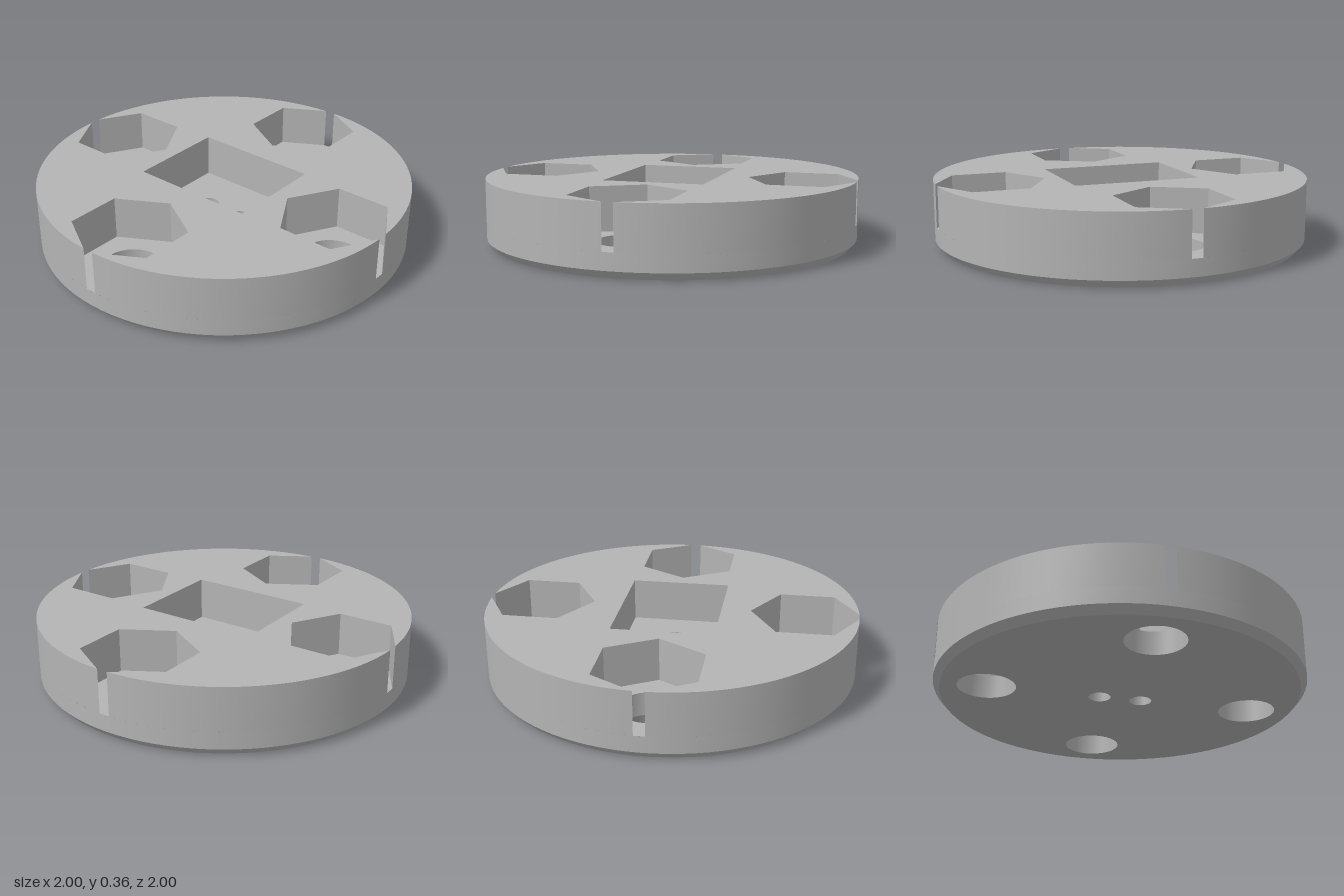
import * as THREE from 'three';

const TOP = 0.36, FLOOR = 0.128, CHAMFER = 0.04, BASE_R = 0.965;
const C = 0.51 * Math.SQRT2, HEX_R = 0.295, BORE_R = 0.155, PIN_R = 0.06;

// All plan points are [u, v] with u = x and v = -z, running counterclockwise.
const circle = (cx, cy, r, n) => Array.from({ length: n }, (_, i) => {
  const a = (i / n) * Math.PI * 2;
  return [cx + r * Math.cos(a), cy + r * Math.sin(a)];
});

// Upright or sloping wall that follows plan points; faces right of travel
function wall(pts, y0, y1, { closed = true, smooth = false, lowerScale = 1 } = {}) {
  const pos = [], idx = [], n = pts.length;
  for (const [u, v] of pts) pos.push(u * lowerScale, y0, -v * lowerScale, u, y1, -v);
  for (let i = 0; i < (closed ? n : n - 1); i++) {
    const p = 2 * i, q = 2 * ((i + 1) % n);
    idx.push(p, q, q + 1, p, q + 1, p + 1);
  }
  let g = new THREE.BufferGeometry();
  g.setAttribute('position', new THREE.Float32BufferAttribute(pos, 3));
  g.setIndex(idx);
  if (!smooth) g = g.toNonIndexed();
  g.computeVertexNormals();
  return g;
}

// Flat horizontal face with holes, facing up or down
function cap(outline, holes, y, up = true) {
  const s = up ? 1 : -1;
  const vec = (pts) => pts.map(([u, v]) => new THREE.Vector2(u, s * v));
  const shape = new THREE.Shape(vec(outline));
  for (const h of holes) shape.holes.push(new THREE.Path(vec(h)));
  return new THREE.ShapeGeometry(shape).rotateX(-s * Math.PI / 2).translate(0, y, 0);
}

export function createModel() {
  const group = new THREE.Group();
  const grey = new THREE.MeshStandardMaterial({ color: 0xb4b4b4 });
  grey.name = 'plain grey';
  const add = (name, geometry) => {
    const mesh = new THREE.Mesh(geometry, grey);
    mesh.name = name;
    group.add(mesh);
  };

  // Where each hexagon breaks through the rim
  const A = C + HEX_R;
  const t = (2 * A / Math.sqrt(3) - Math.sqrt(4 * A * A / 3 - 16 / 3 * (A * A - 1))) / (8 / 3);
  const slotAngle = Math.asin(t);

  const outline = [], bores = [];
  for (let k = 0; k < 4; k++) {
    const a = Math.PI / 4 + k * Math.PI / 2;
    const cx = C * Math.cos(a), cy = C * Math.sin(a);
    const rim = (angle) => [Math.cos(angle), Math.sin(angle)];

    // Hexagonal pocket, open at its outer corner
    const pocket = [rim(a - slotAngle)];
    for (let j = 5; j >= 1; j--) {
      const b = a + j * Math.PI / 3;
      pocket.push([cx + HEX_R * Math.cos(b), cy + HEX_R * Math.sin(b)]);
    }
    pocket.push(rim(a + slotAngle));
    const bore = circle(cx, cy, BORE_R, 40);
    bores.push(bore);
    add('hexPocketWall', wall(pocket, FLOOR, TOP, { closed: false }));
    add('hexPocketFloor', cap(pocket, [bore], FLOOR));

    // Rim section up to the next pocket
    const arc = [], steps = 24;
    for (let i = 0; i <= steps; i++) {
      arc.push(rim(a + slotAngle + (Math.PI / 2 - 2 * slotAngle) * i / steps));
    }
    add('upperRim', wall(arc, FLOOR, TOP, { closed: false, smooth: true }));
    outline.push(...pocket, ...arc.slice(1, -1));
  }

  // Central rectangular pocket with two pin holes
  const rect = [[0.4325, -0.0525], [-0.0525, 0.435], [-0.4325, 0.0525], [0.0525, -0.435]];
  const pins = [circle(-0.08, 0.08, PIN_R, 28), circle(0.08, -0.08, PIN_R, 28)];
  add('centrePocketWall', wall([...rect].reverse(), FLOOR, TOP));
  add('centrePocketFloor', cap(rect, pins, FLOOR));

  // Through holes
  for (const b of bores) add('boreWall', wall([...b].reverse(), 0, FLOOR, { smooth: true }));
  for (const p of pins) add('pinHoleWall', wall([...p].reverse(), 0, FLOOR, { smooth: true }));

  // Disc body
  const full = circle(0, 0, 1, 96);
  add('topFace', cap(outline, [rect], TOP));
  add('lowerRim', wall(full, CHAMFER, FLOOR, { smooth: true }));
  add('bottomChamfer', wall(full, 0, CHAMFER, { smooth: true, lowerScale: BASE_R }));
  add('bottomFace', cap(circle(0, 0, BASE_R, 96), [...bores, ...pins], 0, false));

  return group;
}
